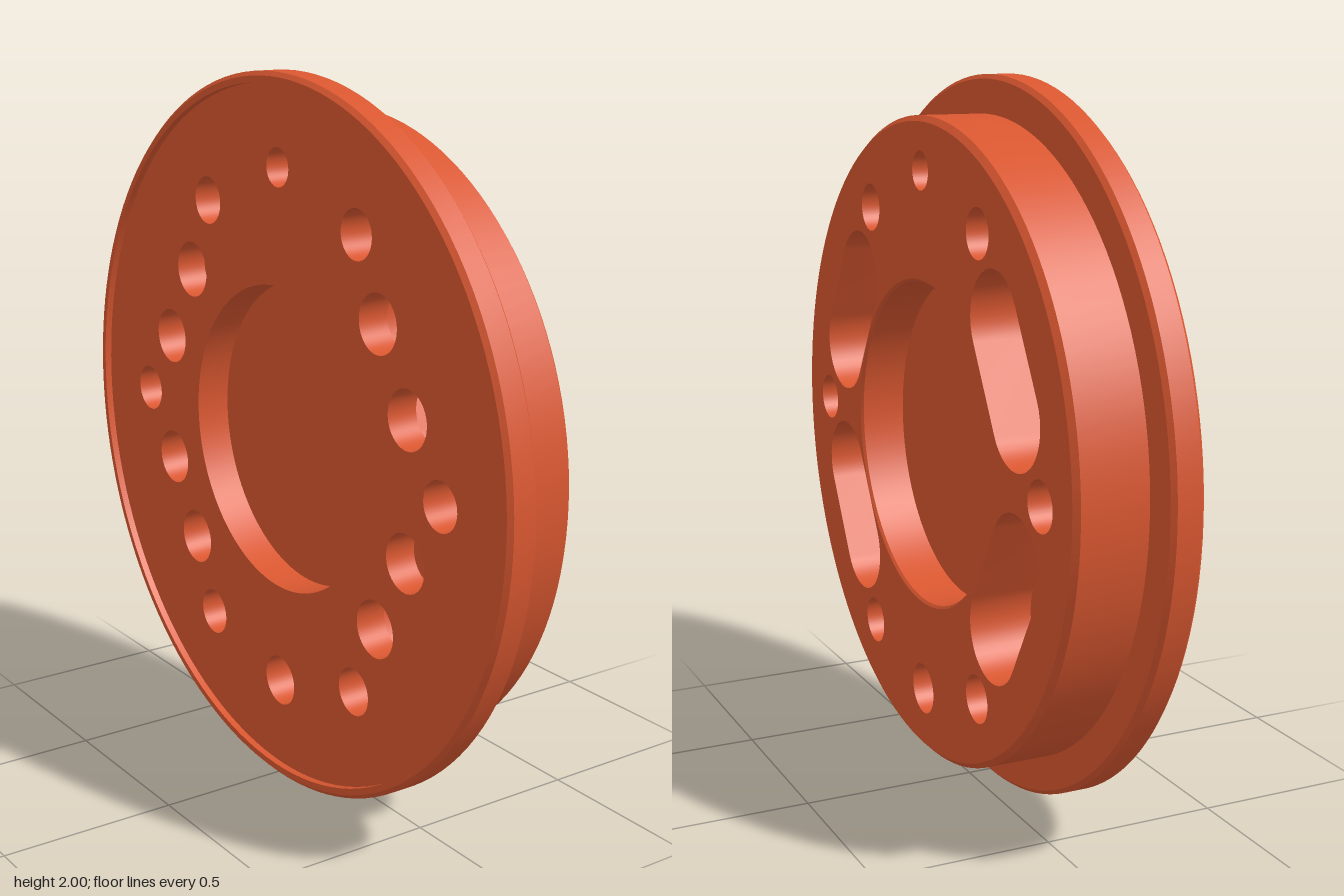
import * as THREE from 'three';
import { toCreasedNormals } from 'three/addons/utils/BufferGeometryUtils.js';

const FRONT = 0.145, BACK = -0.125, SLOT_FLOOR = -0.035;
const PORT_R = 0.08, SLOT_R = 0.135;

export function createModel() {
  const group = new THREE.Group();
  const material = new THREE.MeshStandardMaterial({ color: 0xd95730 });

  // Everything is drawn around the z axis, then turned so that axis becomes x
  const wheel = new THREE.Group();
  wheel.name = 'flangedHub';
  wheel.rotation.y = Math.PI / 2;
  wheel.position.y = 1;
  group.add(wheel);

  const add = (name, geometry) => {
    const mesh = new THREE.Mesh(geometry, material);
    mesh.name = name;
    wheel.add(mesh);
    return mesh;
  };

  // Turned surface from [radius, axial position] pairs
  const turned = (name, profile) => {
    const g = new THREE.LatheGeometry(profile.map(([r, a]) => new THREE.Vector2(r, a)), 128);
    g.rotateX(Math.PI / 2);
    add(name, toCreasedNormals(g, 0.4));
  };

  const circle = (x, y, r, n = 40) => {
    const pts = [];
    for (let i = 0; i < n; i++) {
      const a = (i / n) * Math.PI * 2;
      pts.push(new THREE.Vector2(x + r * Math.cos(a), y + r * Math.sin(a)));
    }
    return pts;
  };

  // Rounded slot outline around two end centres
  const capsule = (a, b, r, n = 20) => {
    const dir = Math.atan2(b.y - a.y, b.x - a.x);
    const pts = [];
    for (const [c, start] of [[b, dir - Math.PI / 2], [a, dir + Math.PI / 2]]) {
      for (let i = 0; i <= n; i++) {
        const t = start + (i / n) * Math.PI;
        pts.push(new THREE.Vector2(c.x + r * Math.cos(t), c.y + r * Math.sin(t)));
      }
    }
    return pts;
  };

  // Flat plate with cut-outs, facing +z
  const plate = (name, outline, holes, z) => {
    const shape = new THREE.Shape(outline);
    shape.holes = holes.map((h) => new THREE.Path(h));
    const mesh = add(name, new THREE.ShapeGeometry(shape));
    mesh.position.z = z;
    return mesh;
  };

  // Inward-facing wall of a cut-out between two depths
  const wall = (name, outline, z0, z1) => {
    const pos = [], index = [], n = outline.length;
    outline.forEach((p, i) => {
      pos.push(p.x, p.y, z0, p.x, p.y, z1);
      const a = 2 * i, b = 2 * ((i + 1) % n);
      index.push(a, b + 1, b, a, a + 1, b + 1);
    });
    const g = new THREE.BufferGeometry();
    g.setAttribute('position', new THREE.Float32BufferAttribute(pos, 3));
    g.setIndex(index);
    g.computeVertexNormals();
    add(name, g);
  };

  // Rim, flange and boss, then the blind bores on each side of the web
  turned('flangeAndBoss', [
    [0.97, BACK], [0.97, -0.145], [0.988, -0.145], [1, -0.133], [1, -0.067], [0.988, -0.055],
    [0.895, -0.055], [0.895, 0.13], [0.88, FRONT],
  ]);
  turned('frontBore', [[0.457, FRONT], [0.45, 0.138], [0.45, 0.012], [0, 0.012]]);
  turned('backBore', [[0, -0.025], [0.43, -0.025], [0.43, BACK]]);

  // Bolt holes through the full thickness
  const bolts = [circle(0, 0.75, 0.053), circle(0, -0.715, 0.072)];
  for (const s of [-1, 1]) {
    bolts.push(circle(0.715 * s, 0, 0.067));
    for (const t of [-1, 1]) bolts.push(circle(0.358 * s, 0.62 * t, 0.067));
  }
  bolts.forEach((h) => wall('boltHole', h, BACK, FRONT));

  // Four slots sunk from the front, each with two ports through its floor
  const slots = [], ports = [];
  for (const s of [-1, 1]) {
    for (const t of [-1, 1]) {
      const a = new THREE.Vector2(0.452 * s, 0.408 * t);
      const b = new THREE.Vector2(0.578 * s, 0.188 * t);
      const slot = capsule(a, b, SLOT_R);
      const pair = [a, b].map((c) => circle(c.x, c.y, PORT_R));
      slots.push(slot);
      ports.push(...pair);
      wall('slotWall', slot, SLOT_FLOOR, FRONT);
      plate('slotFloor', slot, pair, SLOT_FLOOR);
      pair.forEach((p) => wall('port', p, BACK, SLOT_FLOOR));
    }
  }

  // Front and back faces
  plate('frontFace', circle(0, 0, 0.88, 128), [circle(0, 0, 0.457, 128), ...bolts, ...slots], FRONT);
  const back = plate('backFace', circle(0, 0, 0.97, 128), [circle(0, 0, 0.43, 128), ...bolts, ...ports], BACK);
  back.rotation.y = Math.PI;

  return group;
}
